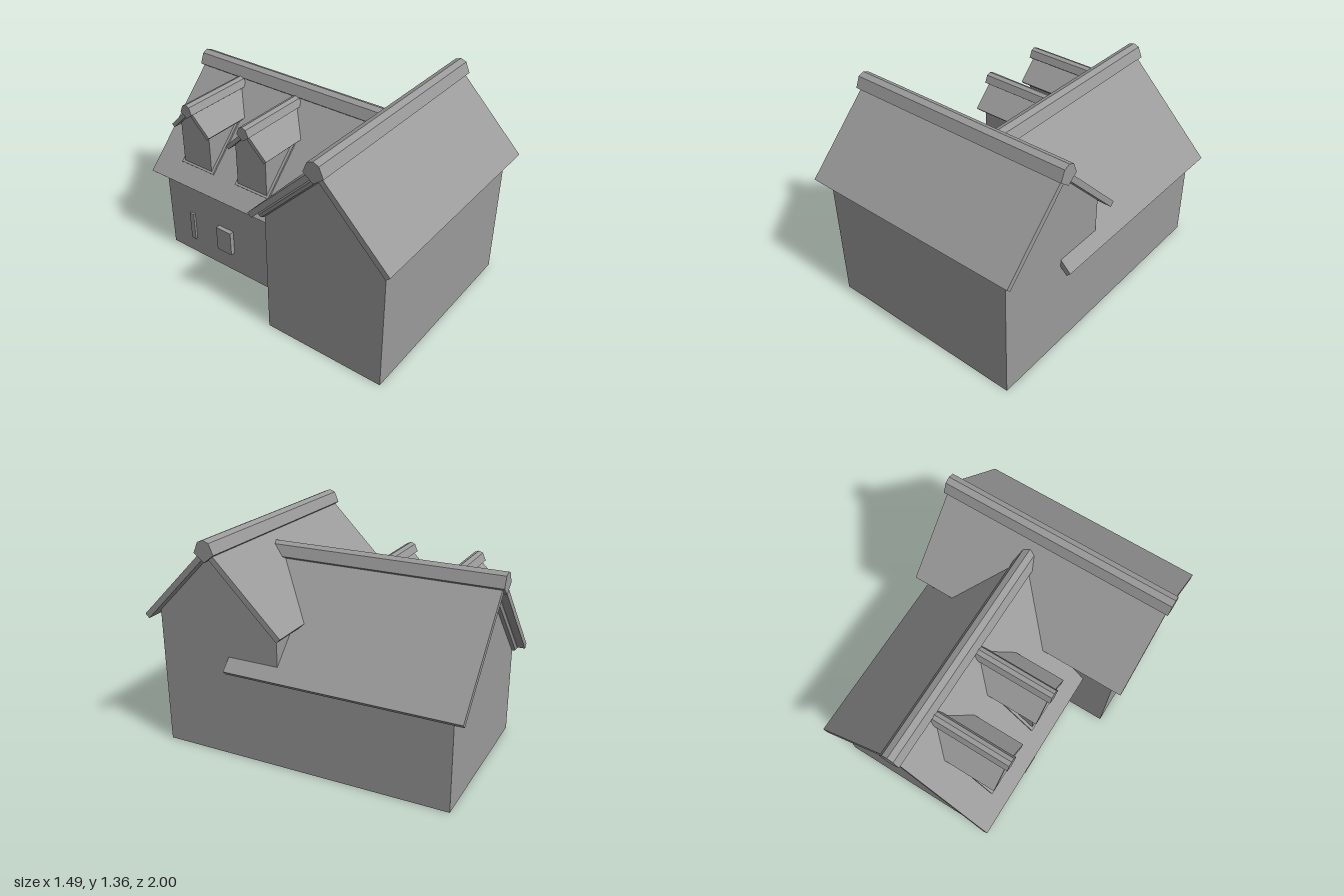
import * as THREE from 'three';

const material = new THREE.MeshStandardMaterial({ color: 0x9a9a9a, flatShading: true, side: THREE.DoubleSide });

function add(parent, name, geometry) {
  const mesh = new THREE.Mesh(geometry, material);
  mesh.name = name;
  parent.add(mesh);
  return mesh;
}

function shapeOf(points) {
  return new THREE.Shape(points.map(([x, y]) => new THREE.Vector2(x, y)));
}

// Extrude a profile along z from z0 to z1
function prism(points, z0, z1) {
  const g = new THREE.ExtrudeGeometry(shapeOf(points), { depth: z1 - z0, bevelEnabled: false });
  return g.translate(0, 0, z0);
}

// Mirror a half profile, listed from top centre to bottom centre
function mirrored(half) {
  return [...half, ...half.slice(1, -1).reverse().map(([x, y]) => [-x, y])];
}

// Both roof slopes as one 45 degree chevron
const chevron = (apex, half, t) => mirrored([
  [0, apex], [half, apex - half], [half - t, apex - half - t], [0, apex - 2 * t],
]);

const ridgeProfile = (apex, s) => mirrored([
  [0, apex + 0.045 * s], [0.037 * s, apex + 0.03 * s], [0.065 * s, apex - 0.035 * s], [0, apex - 0.085 * s],
]);

const gableProfile = (apex, half, bottom) => [
  [-half, bottom], [half, bottom], [half, apex - half], [0, apex], [-half, apex - half],
];

// Four walls, open at the bottom, with a gable at each end
function addWalls(parent, apex, half, z0, z1) {
  for (const z of [z0, z1]) {
    add(parent, 'gableWall', new THREE.ShapeGeometry(shapeOf(gableProfile(apex, half, 0))).translate(0, 0, z));
  }
  const h = apex - half;
  for (const side of [-1, 1]) {
    const g = new THREE.PlaneGeometry(z1 - z0, h).rotateY(side * Math.PI / 2);
    add(parent, 'sideWall', g.translate(side * half, h / 2, (z0 + z1) / 2));
  }
}

// Round rafters under the verge of one gable
function addRafters(parent, apex, half, z) {
  for (const side of [-1, 1]) {
    const g = new THREE.CylinderGeometry(0.027, 0.027, half * Math.SQRT2, 8);
    const rafter = add(parent, 'gableRafter', g);
    rafter.rotation.z = side * Math.PI / 4;
    rafter.position.set(side * half / 2, apex - half / 2 - 0.015, z);
  }
}

// Cut the inner end of a dormer part along the main roof slope
function cutToRoof(geometry) {
  const p = geometry.attributes.position;
  for (let i = 0; i < p.count; i++) if (p.getZ(i) > 0) p.setZ(i, p.getY(i) - 1.035);
  geometry.computeVertexNormals();
  return geometry;
}

function createDormer(z) {
  const dormer = new THREE.Group();
  dormer.name = 'dormer';
  dormer.rotation.y = Math.PI / 2;
  dormer.position.z = z;
  add(dormer, 'dormerWalls', cutToRoof(prism(gableProfile(1.08, 0.115, 0.68), -0.37, 0.1)));
  add(dormer, 'dormerRoof', cutToRoof(prism(chevron(1.115, 0.155, 0.018), -0.41, 0.1)));
  add(dormer, 'dormerRidge', prism(ridgeProfile(1.115, 0.7), -0.43, 0.07));
  // Flashing lying on the main roof beside the dormer cheeks
  const flashing = add(dormer, 'dormerFlashing', new THREE.BoxGeometry(0.265, 0.02, 0.42));
  flashing.rotation.x = -Math.PI / 4;
  flashing.position.set(0, 0.822, -0.225);
  return dormer;
}

export function createModel() {
  const house = new THREE.Group();
  house.name = 'house';

  // Front block, ridge running left to right
  const front = new THREE.Group();
  front.name = 'frontBlock';
  front.rotation.y = Math.PI / 2;
  front.position.z = 0.54;
  addWalls(front, 1.26, 0.398, -0.66, 0.66);
  add(front, 'frontRoof', prism(chevron(1.31, 0.462, 0.025), -0.73, 0.725));
  add(front, 'frontRidge', prism(ridgeProfile(1.31, 1), -0.745, 0.74));
  addRafters(front, 1.26, 0.42, -0.66);
  house.add(front);

  // Rear wing, ridge running front to back, its front gable inside the front block
  const wing = new THREE.Group();
  wing.name = 'rearWing';
  wing.position.x = 0.13;
  addWalls(wing, 1.125, 0.53, -0.915, 0.415);
  add(wing, 'wingRoof', prism(chevron(1.175, 0.597, 0.025), -0.985, 0.47));
  add(wing, 'wingRidge', prism(ridgeProfile(1.175, 1), -1, 0.47));
  addRafters(wing, 1.125, 0.55, -0.915);
  house.add(wing);

  for (const z of [-0.655, -0.207]) house.add(createDormer(z));

  // Small fittings on the wing's right wall
  add(house, 'narrowWindow', new THREE.BoxGeometry(0.015, 0.2, 0.035)).position.set(-0.409, 0.22, -0.71);
  add(house, 'window', new THREE.BoxGeometry(0.03, 0.17, 0.12)).position.set(-0.416, 0.235, -0.42);

  return house;
}
